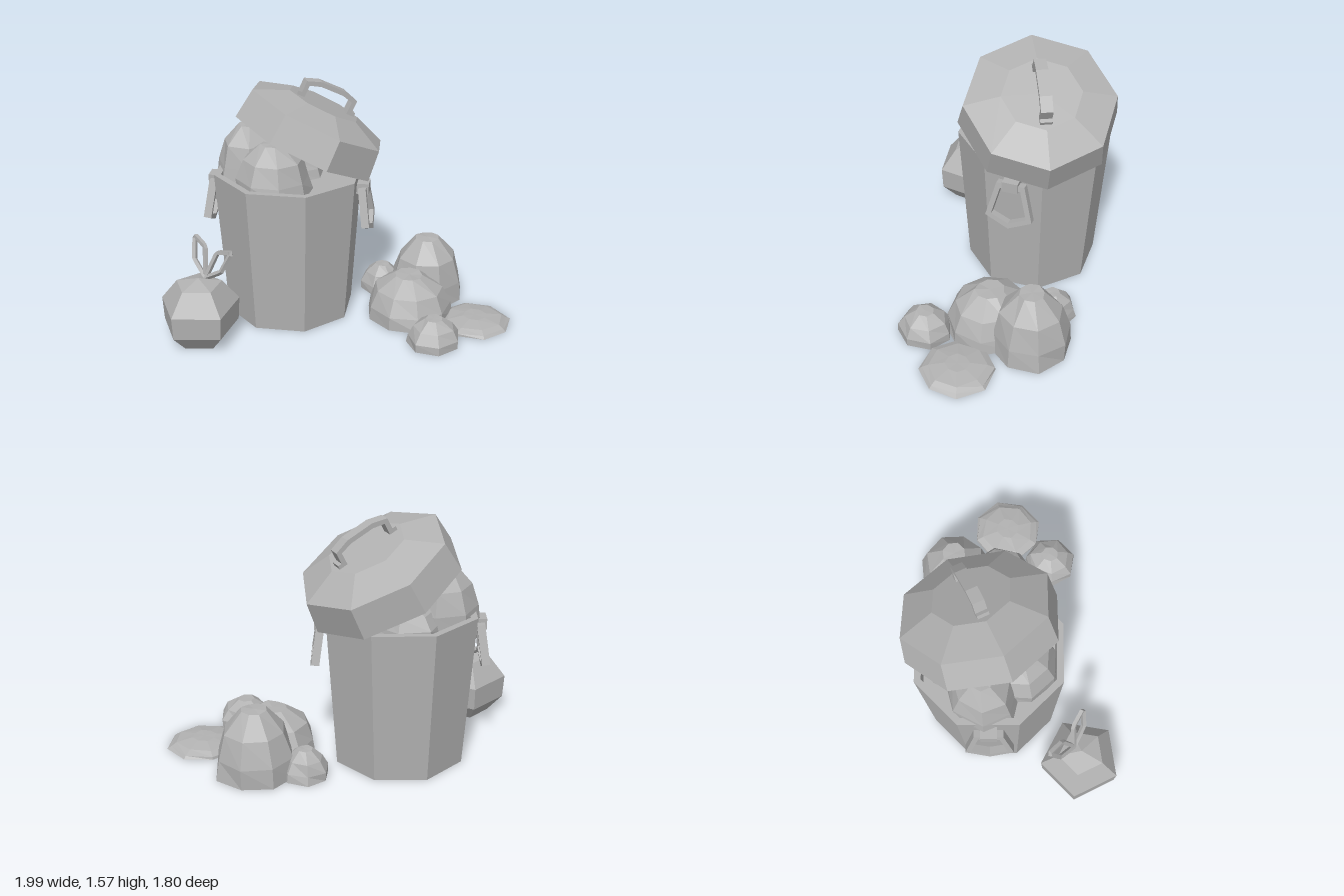
import * as THREE from 'three';

const rad = THREE.MathUtils.degToRad;
const grey = new THREE.MeshStandardMaterial({ color: 0xb2b2b2, side: THREE.DoubleSide });
grey.name = 'grey metal';

// Faceted mesh with one normal per face
function facet(name, geometry, parent) {
  const g = geometry.index ? geometry.toNonIndexed() : geometry;
  g.computeVertexNormals();
  const mesh = new THREE.Mesh(g, grey);
  mesh.name = name;
  parent.add(mesh);
  return mesh;
}

function lathe(profile, sides, phase) {
  return new THREE.LatheGeometry(profile.map(([r, y]) => new THREE.Vector2(r, y)), sides, rad(phase));
}

// Push vertices in or out by a repeatable amount, keeping the base on the ground
function crumple(g, amount) {
  const p = g.attributes.position;
  for (let i = 0; i < p.count; i++) {
    const x = p.getX(i), y = p.getY(i), z = p.getZ(i);
    const s = Math.sin(Math.round(x * 100) * 1.7 + Math.round(y * 100) * 2.3 + Math.round(z * 100) * 3.1);
    const k = 1 + amount * s;
    p.setXYZ(i, x * k, y * (1 + amount * 0.3 * s), z * k);
  }
  return g;
}

const heap = [[1, 0], [0.95, 0.3], [0.76, 0.68], [0.32, 0.99], [0, 1]];

// Open-bottomed lump of rubbish resting at [x, y, z]
function lump(name, parent, [x, y, z], rx, h, rz, sides = 8, phase = 10) {
  const g = crumple(lathe(heap, sides, phase), 0.04);
  g.scale(rx, h, rz);
  facet(name, g, parent).position.set(x, y, z);
}

function outline(points) {
  return new THREE.Shape(points.map(([x, y]) => new THREE.Vector2(x, y)));
}

function extrude(shape, depth) {
  const g = new THREE.ExtrudeGeometry(shape, { depth, bevelEnabled: false });
  return g.translate(0, 0, -depth / 2);
}

// Hanging side handle: five-sided ring on a small bracket
function sideHandle(parent, angle) {
  const group = new THREE.Group();
  group.name = 'sideHandle';
  group.rotation.y = rad(angle);
  const shape = outline([[-0.09, 0], [0.09, 0], [0.15, -0.24], [0, -0.31], [-0.15, -0.24]]);
  shape.holes.push(outline([[-0.065, -0.035], [-0.113, -0.225], [0, -0.273], [0.113, -0.225], [0.065, -0.035]]));
  const ring = facet('handleRing', extrude(shape, 0.05), group);
  ring.position.set(0, 0.895, 0.485);
  ring.rotation.x = -rad(8);
  const bracket = facet('handleBracket', new THREE.BoxGeometry(0.1, 0.07, 0.1), group);
  bracket.position.set(0, 0.885, 0.475);
  parent.add(group);
}

export function createModel() {
  const model = new THREE.Group();
  model.name = 'trashCan';

  // Eight-sided can with a rim and an inner floor
  const can = new THREE.Group();
  can.name = 'can';
  can.position.z = -0.39;
  facet('canBody', lathe([[0, 0], [0.42, 0], [0.49, 0.98], [0.445, 0.98], [0.435, 0.9], [0, 0.9]], 8, 14.1), can);
  sideHandle(can, 36.6);
  sideHandle(can, 216.6);
  model.add(can);

  // Rubbish bulging out of the can
  lump('innerBagBack', model, [-0.12, 0.9, -0.62], 0.24, 0.36, 0.21, 7);
  lump('innerBagSide', model, [-0.19, 0.9, -0.33], 0.24, 0.32, 0.25, 8);
  lump('innerBagRight', model, [0.12, 0.9, -0.5], 0.22, 0.2, 0.24, 7);

  // Tilted lid with a raised centre and an arched grip
  const lid = new THREE.Group();
  lid.name = 'lid';
  lid.position.set(0.17, 1.32, -0.295);
  lid.rotation.set(0, -rad(28), -rad(27));
  facet('lidShell', lathe([[0, 0.05], [0.24, 0.05], [0.44, -0.03], [0.46, -0.2], [0.5, -0.2],
    [0.475, 0], [0.25, 0.085], [0, 0.085]], 8, 0), lid);
  const grip = outline([[-0.21, 0], [-0.21, 0.025], [-0.185, 0.025], [-0.185, 0.1], [-0.09, 0.13], [0.09, 0.13],
    [0.185, 0.1], [0.185, 0.025], [0.21, 0.025], [0.21, 0], [0.155, 0], [0.155, 0.08],
    [0.08, 0.1], [-0.08, 0.1], [-0.155, 0.08], [-0.155, 0]]);
  facet('lidGrip', extrude(grip, 0.075), lid).position.y = 0.085;
  model.add(lid);

  // Tied bag standing beside the can
  const bag = new THREE.Group();
  bag.name = 'tiedBag';
  bag.position.set(-0.75, 0, -0.43);
  facet('bagBody', lathe([[0, 0], [0.15, 0], [0.25, 0.11], [0.26, 0.26], [0.15, 0.4], [0, 0.44]], 5, 63), bag);
  for (const s of [-1, 1]) {
    const corners = [[0.06, 0.42, 0], [0.08, 0.5, 0.13], [0.13, 0.635, 0.18], [0.115, 0.6, 0.06]]
      .map(([x, y, z]) => new THREE.Vector3(x, y, z * s));
    const loop = new THREE.CurvePath();
    corners.forEach((c, i) => loop.add(new THREE.LineCurve3(c, corners[(i + 1) % 4])));
    facet('tieLoop', new THREE.TubeGeometry(loop, 24, 0.017, 4, true), bag);
  }
  model.add(bag);

  // Spilled heap on the ground
  lump('tallLump', model, [0.745, 0, 0.165], 0.255, 0.43, 0.255, 8, 20);
  lump('middleLump', model, [0.45, 0, 0.27], 0.28, 0.29, 0.29, 9, 5);
  lump('frontLump', model, [0.28, 0, 0.64], 0.18, 0.175, 0.175, 7, 15);
  lump('flatLump', model, [0.67, 0, 0.66], 0.235, 0.055, 0.235, 8, 10);
  lump('backLump', model, [0.6, 0, -0.11], 0.145, 0.18, 0.155, 7, 30);

  return model;
}
